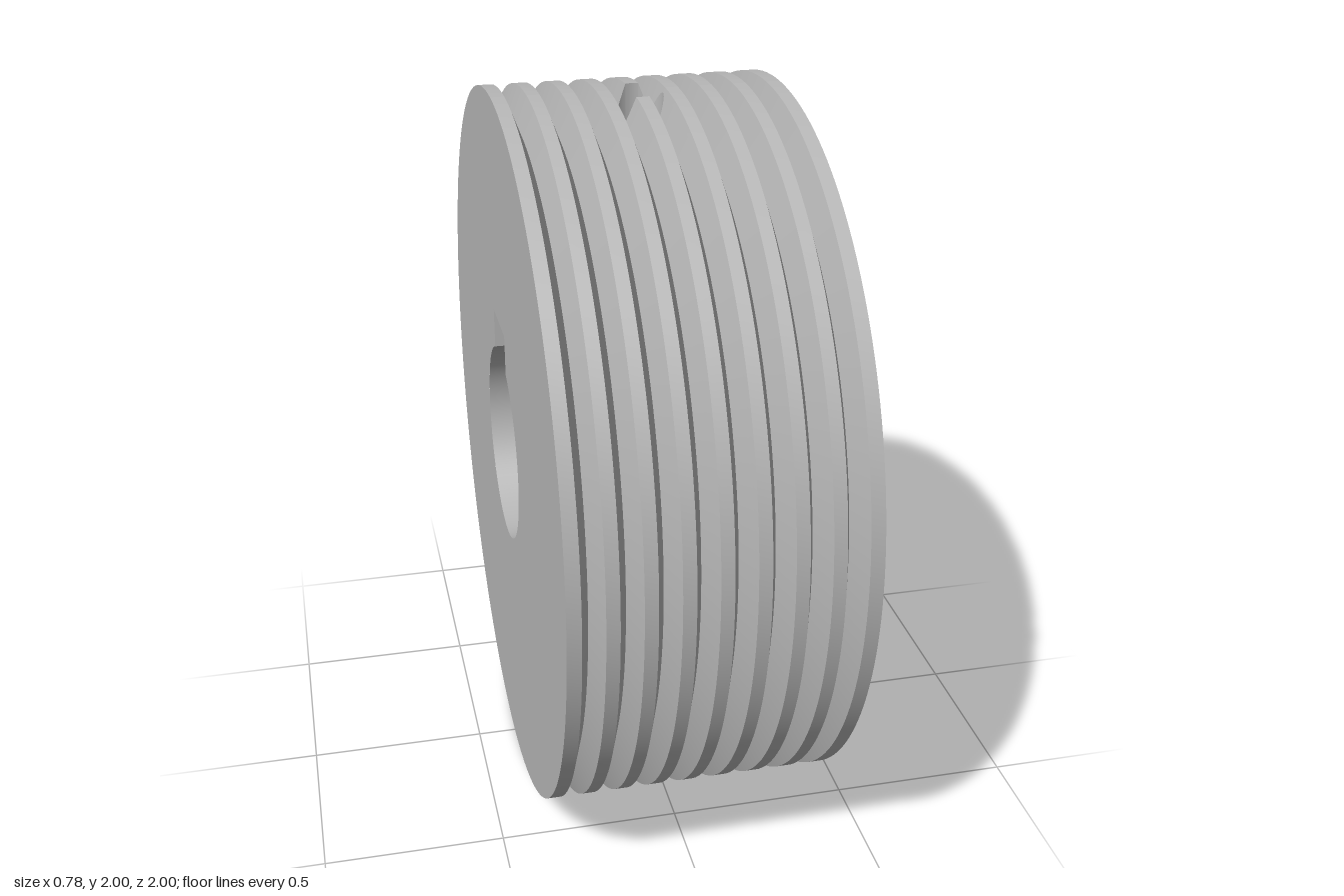
import * as THREE from 'three';

const HALF = 0.39;      // half the width along x
const PITCH = 0.0925;   // groove spacing
const GROOVE = 0.029;   // half the groove mouth
const DEPTH = 0.077;    // groove depth
const BORE = 0.275;     // bore radius
const KEY = 0.1;        // half the keyway width
const KEY_TOP = 1.37;   // keyway ceiling height
const HOLE = 0.07;      // set screw hole radius
const ROWS = 160;

// Surface over a grid of points; it faces along (step in i) x (step in j)
function grid(m, n, point) {
  const pos = [], index = [];
  for (let i = 0; i < m; i++) for (let j = 0; j < n; j++) pos.push(...point(i, j));
  for (let i = 0; i < m - 1; i++) for (let j = 0; j < n - 1; j++) {
    const a = i * n + j, b = a + n;
    index.push(a, b, b + 1, a, b + 1, a + 1);
  }
  const geo = new THREE.BufferGeometry();
  geo.setAttribute('position', new THREE.Float32BufferAttribute(pos, 3));
  geo.setIndex(index);
  geo.computeVertexNormals();
  return geo;
}

export function createModel() {
  const group = new THREE.Group();
  const steel = new THREE.MeshStandardMaterial({ color: 0xb8b8b8 });
  steel.name = 'steel grey';
  const add = (name, geo, parent = group) => {
    const mesh = new THREE.Mesh(geo, steel);
    mesh.name = name;
    parent.add(mesh);
    return mesh;
  };

  // Rim profile: eight V grooves between flat lands
  const profile = [[-HALF, 1]];
  for (let k = 0; k < 8; k++) {
    const x = (k - 3.5) * PITCH;
    profile.push([x - GROOVE, 1], [x, 1 - DEPTH], [x + GROOVE, 1]);
  }
  profile.push([HALF, 1]);
  const radiusAt = (x) => {
    const k = profile.findIndex((p, i) => i > 0 && x <= p[0] + 1e-9);
    const [xa, ra] = profile[k - 1], [xb, rb] = profile[k];
    return ra + (rb - ra) * (x - xa) / (xb - xa);
  };

  // Columns where the screw hole cuts the rim
  const holeX = profile.map((p) => p[0]).filter((x) => Math.abs(x) < HOLE);
  for (let k = 0; k <= 24; k++) holeX.push(HOLE * Math.cos(k * Math.PI / 24));
  holeX.sort((a, b) => b - a);

  // Rim: one smooth band per profile segment, opened around the hole
  const rim = new THREE.Group();
  rim.name = 'groovedRim';
  group.add(rim);
  for (let k = 1; k < profile.length; k++) {
    const xa = profile[k - 1][0], xb = profile[k][0];
    const inside = holeX.filter((x) => x > xa + 1e-6 && x < xb - 1e-6).reverse();
    const xs = [xa, ...inside, xb];
    add('rimBand' + k, grid(ROWS + 1, xs.length, (i, j) => {
      const x = xs[j], r = radiusAt(x);
      const gap = Math.asin(Math.sqrt(Math.max(0, HOLE * HOLE - x * x)) / r);
      const t = gap + (2 * Math.PI - 2 * gap) * i / ROWS;
      return [x, 1 + r * Math.cos(t), r * Math.sin(t)];
    }), rim);
  }

  // Set screw hole wall, from the keyway up to the grooved rim
  const half = holeX.map((x) => Math.acos(THREE.MathUtils.clamp(x / HOLE, -1, 1)));
  const angles = [...half, ...half.map((a) => 2 * Math.PI - a).reverse()];
  add('screwHole', grid(angles.length, 2, (i, j) => {
    const x = HOLE * Math.cos(angles[i]), z = HOLE * Math.sin(angles[i]);
    return [x, j ? 1 + Math.sqrt(radiusAt(x) ** 2 - z * z) : KEY_TOP, z];
  }));

  // Flat end faces with the keyed bore cut out
  const a = Math.asin(KEY / BORE);
  const shoulder = 1 + BORE * Math.cos(a);
  const disc = new THREE.Shape().absarc(0, 1, 1, 0, 2 * Math.PI);
  const cut = new THREE.Path().moveTo(KEY, shoulder).lineTo(KEY, KEY_TOP)
    .lineTo(-KEY, KEY_TOP).lineTo(-KEY, shoulder)
    .absarc(0, 1, BORE, Math.PI / 2 + a, Math.PI * 2.5 - a, false);
  disc.holes.push(cut);
  for (const [name, side] of [['leftFace', 1], ['rightFace', -1]]) {
    const face = add(name, new THREE.ShapeGeometry(disc, ROWS / 2));
    face.rotation.y = side * Math.PI / 2;
    face.position.x = side * HALF;
  }

  // Bore, facing inwards and open at the keyway
  const bore = new THREE.LatheGeometry(
    [new THREE.Vector2(BORE, HALF), new THREE.Vector2(BORE, -HALF)],
    96, -Math.PI / 2 + a, 2 * Math.PI - 2 * a);
  bore.rotateZ(-Math.PI / 2);
  add('bore', bore).position.y = 1;

  // Keyway walls and ceiling
  const wallHeight = KEY_TOP - shoulder;
  for (const side of [1, -1]) {
    const wall = add('keywayWall', new THREE.PlaneGeometry(2 * HALF, wallHeight));
    wall.position.set(0, shoulder + wallHeight / 2, side * KEY);
    if (side > 0) wall.rotation.y = Math.PI;
  }
  const ceiling = new THREE.Shape().moveTo(-HALF, -KEY).lineTo(HALF, -KEY)
    .lineTo(HALF, KEY).lineTo(-HALF, KEY).closePath();
  ceiling.holes.push(new THREE.Path().absarc(0, 0, HOLE, 0, 2 * Math.PI));
  const top = add('keywayCeiling', new THREE.ShapeGeometry(ceiling, 24));
  top.rotation.x = Math.PI / 2;
  top.position.y = KEY_TOP;

  return group;
}
